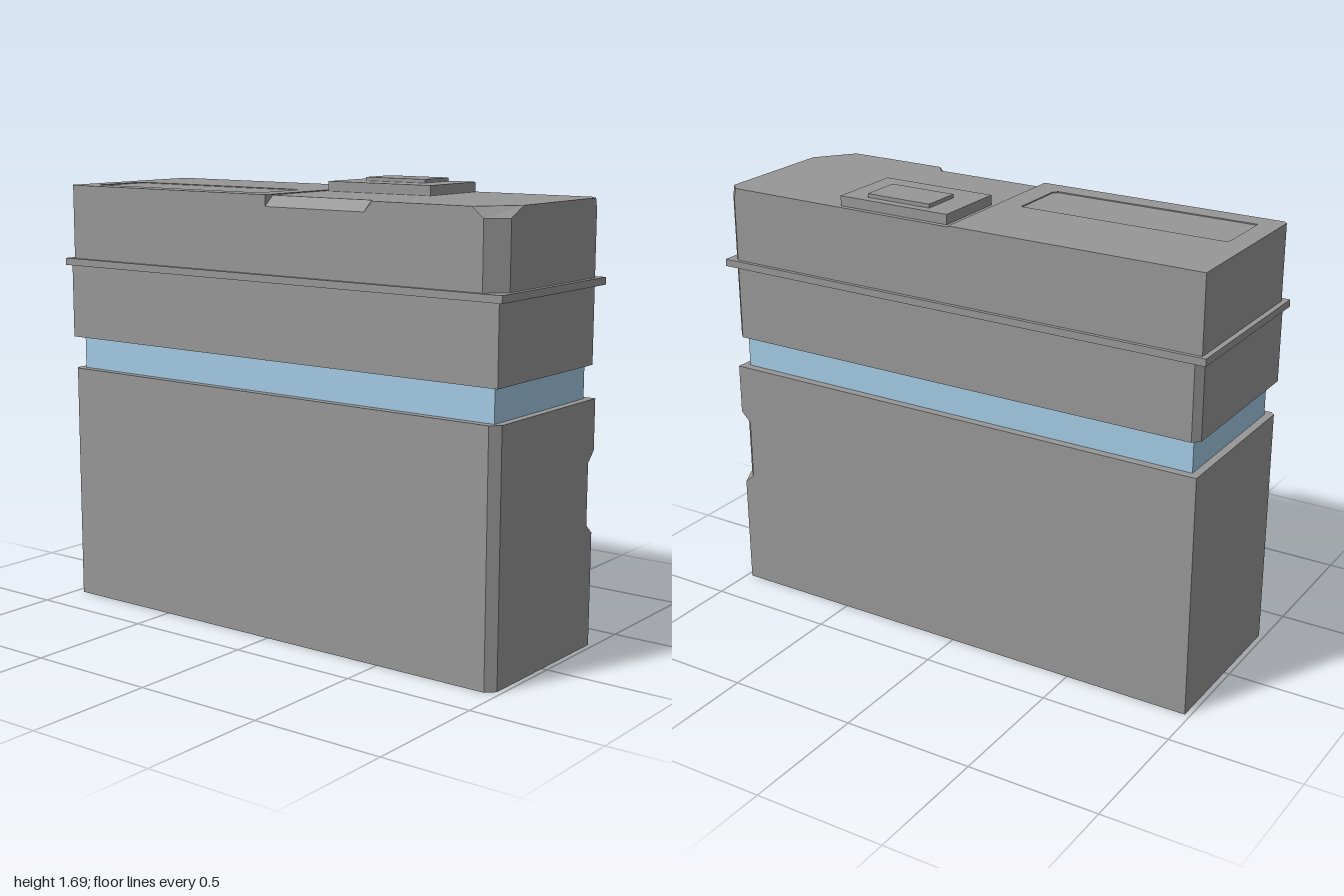
import * as THREE from 'three';

const W = 0.98, D = 0.33; // half width and half depth of the case

const grey = new THREE.MeshStandardMaterial({ color: 0x979797, flatShading: true });
const blue = new THREE.MeshStandardMaterial({ color: 0xa2cae4, flatShading: true });

// Rectangle with a chamfer [dx, dz] on each corner; frontPoints go on the front edge.
function section({ bl = 0, fl = 0, fr = 0, br = 0, frontPoints = [] }) {
  const pair = (c) => (Array.isArray(c) ? c : [c, c]);
  const [[ax, az], [bx, bz], [cx, cz], [dx, dz]] = [bl, fl, fr, br].map(pair);
  return [
    [-W + ax, -D], [-W, -D + az],
    [-W, D - bz], [-W + bx, D],
    ...frontPoints,
    [W - cx, D], [W, D - cz],
    [W, -D + dz], [W - dx, -D],
  ];
}

// Solid through a stack of equal-length sections [{ y, pts }], closed at both ends.
function loft(levels) {
  const pos = [];
  const tri = (...p) => {
    const [a, b, c] = p.map((v) => new THREE.Vector3(...v));
    if (b.sub(a).cross(c.sub(a)).length() > 1e-8) p.forEach((v) => pos.push(...v));
  };
  const at = (l, i) => [l.pts[i % l.pts.length][0], l.y, l.pts[i % l.pts.length][1]];
  for (let k = 0; k + 1 < levels.length; k++) {
    const lo = levels[k], hi = levels[k + 1];
    for (let i = 0; i < lo.pts.length; i++) {
      tri(at(lo, i), at(lo, i + 1), at(hi, i + 1));
      tri(at(lo, i), at(hi, i + 1), at(hi, i));
    }
  }
  const cap = (l, up) => {
    const ring = l.pts.filter((p, i, all) => {
      const q = all[(i + 1) % all.length];
      return Math.hypot(p[0] - q[0], p[1] - q[1]) > 1e-6;
    });
    const faces = THREE.ShapeUtils.triangulateShape(ring.map(([x, z]) => new THREE.Vector2(x, -z)), []);
    for (const f of faces) {
      const p = f.map((i) => [ring[i][0], l.y, ring[i][1]]);
      tri(...(up ? p : p.reverse()));
    }
  };
  cap(levels[0], false);
  cap(levels[levels.length - 1], true);
  const g = new THREE.BufferGeometry();
  g.setAttribute('position', new THREE.Float32BufferAttribute(pos, 3));
  g.computeVertexNormals();
  return g;
}

export function createModel() {
  const model = new THREE.Group();
  model.name = 'case';
  const add = (name, geometry, material = grey) => {
    const mesh = new THREE.Mesh(geometry, material);
    mesh.name = name;
    model.add(mesh);
    return mesh;
  };
  // Box given by its limits on each axis
  const box = (name, [x0, x1], [y0, y1], [z0, z1], material) =>
    add(name, new THREE.BoxGeometry(x1 - x0, y1 - y0, z1 - z0), material)
      .position.set((x0 + x1) / 2, (y0 + y1) / 2, (z0 + z1) / 2);

  // Lower body, with a cut in the back right edge
  const cuts = [[0, 0], [0.425, 0], [0.46, 0.039], [0.69, 0.039], [0.73, 0], [0.92, 0]];
  add('lowerBody', loft(cuts.map(([y, br]) => ({ y, pts: section({ fl: 0.015, fr: 0.032, br }) }))));

  // Recessed coloured band
  box('colouredBand', [-0.95, 0.95], [0.92, 1.045], [-0.298, 0.298], blue);

  // Middle body and rim
  add('middleBody', loft([1.045, 1.33].map((y) => ({ y, pts: section({ bl: 0.025, br: 0.028 }) }))));
  box('rim', [-1, 1], [1.328, 1.355], [-0.345, 0.345]);

  // Lid: corner chamfers flare at the top, and the front edge has a bevelled finger notch
  const TOP = 1.635;
  const straight = [[0, D], [0, D], [0.435, D], [0.47, D]];
  const notched = [[0, D], [0, 0.285], [0.435, 0.285], [0.47, D]];
  const lidLow = section({ fl: 0.015, fr: 0.065, br: 0.028, frontPoints: straight });
  add('lid', loft([
    { y: 1.355, pts: lidLow },
    { y: 1.597, pts: lidLow },
    { y: TOP, pts: section({ fl: 0.015, fr: [0.11, 0.14], br: 0.037, frontPoints: notched }) },
  ]));

  // Thin raised sheet on one half of the lid, with a sunken label area
  const sheet = new THREE.Shape([[-W, -D + 0.015], [-W + 0.015, -D], [0, -D], [0, D], [-W, D]]
    .map((p) => new THREE.Vector2(...p)));
  sheet.holes.push(new THREE.Path([[-0.9, -0.25], [-0.9, -0.025], [-0.885, -0.01], [-0.09, -0.01], [-0.09, -0.235], [-0.105, -0.25]]
    .map((p) => new THREE.Vector2(...p))));
  const sheetGeometry = new THREE.ExtrudeGeometry(sheet, { depth: 0.004, bevelEnabled: false });
  sheetGeometry.rotateX(-Math.PI / 2);
  add('raisedSheet', sheetGeometry).position.y = TOP;

  // Stepped button on the lid
  box('buttonBase', [0.018, 0.472], [TOP - 0.01, 1.672], [-0.31, -0.018]);
  box('button', [0.113, 0.376], [1.667, 1.686], [-0.276, -0.122]);

  return model;
}
